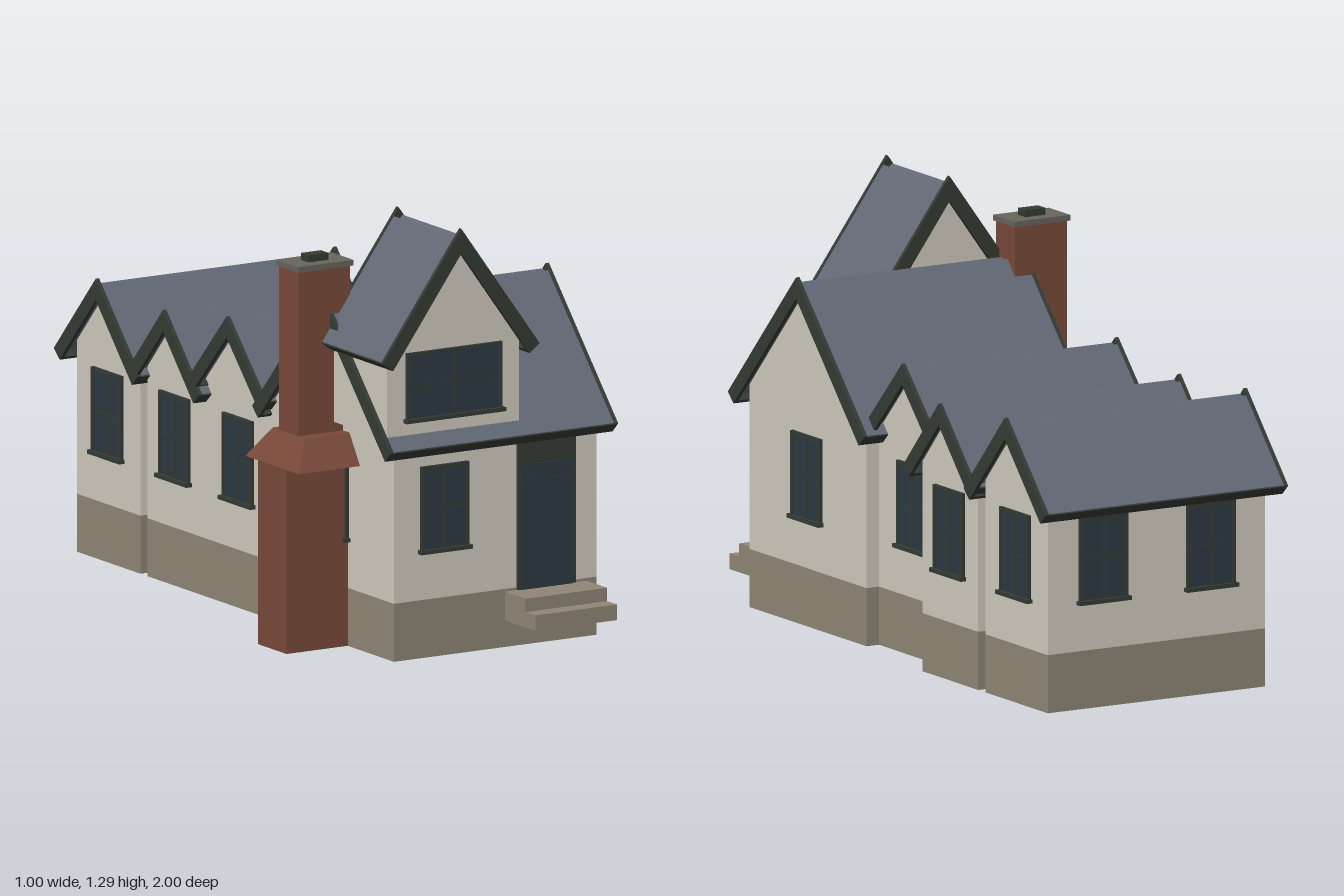
import * as THREE from 'three';

const mat = (name, color) => {
  const m = new THREE.MeshStandardMaterial({ color });
  m.name = name;
  return m;
};

export function createModel() {
  const plaster = mat('cream plaster', 0xd2ccc0);
  const stone = mat('tan stone', 0x908777);
  const slate = mat('slate', 0x626975);
  const trim = mat('dark green trim', 0x343b34);
  const glass = mat('blue glass', 0x2d3a42);
  const brick = mat('red brick', 0x7a4a3a);
  const capStone = mat('grey cap', 0x68655d);

  const house = new THREE.Group();
  house.name = 'house';

  const add = (parent, name, geometry, material) => {
    const mesh = new THREE.Mesh(geometry, material);
    mesh.name = name;
    parent.add(mesh);
    return mesh;
  };
  // Box given by its lower and upper corners
  const box = (parent, name, material, [x0, y0, z0], [x1, y1, z1]) => {
    const mesh = add(parent, name, new THREE.BoxGeometry(x1 - x0, y1 - y0, z1 - z0), material);
    mesh.position.set((x0 + x1) / 2, (y0 + y1) / 2, (z0 + z1) / 2);
    return mesh;
  };
  // Polygon in x, y pushed along z from z0 to z1
  const prism = (parent, name, material, points, z0, z1) => {
    const shape = new THREE.Shape(points.map(([x, y]) => new THREE.Vector2(x, y)));
    const geo = new THREE.ExtrudeGeometry(shape, { depth: z1 - z0, bevelEnabled: false });
    geo.translate(0, 0, z0);
    return add(parent, name, geo, material);
  };

  // Pitched roof with its ridge along local z, plus the gabled wall under it
  const gable = (name, o) => {
    const g = new THREE.Group();
    g.name = name;
    const t = 0.02, rise = 0.022, drop = 0.022;
    const a = Math.atan(o.pitch), c = Math.cos(a), s = Math.sin(a);
    const yb = o.top - rise / c;
    const len = (o.span - rise * s) / c;
    const [r0, r1] = o.roof;
    for (const side of [-1, 1]) {
      // Point at distance d down the slope and n above its underside
      const at = (d, n) => [side * (d * c + n * s), yb - d * s + n * c];
      prism(g, 'roofSlab', slate, [at(0, 0), at(len - 0.004, 0), at(len - 0.004, t), at(0, t)], r0, r1);
      prism(g, 'eaveFascia', trim,
        [at(len - 0.012, -drop), at(len, -drop), at(len, t - 0.001), at(len - 0.012, t - 0.001)], r0, r1);
      // Bargeboards on both gable ends
      for (const [z0, z1] of [[r0 - 0.007, r0 + 0.005], [r1 - 0.005, r1 + 0.007]]) {
        prism(g, 'bargeboard', trim,
          [[0, yb - drop / c], at(len, -drop), at(len, rise), [0, yb + rise / c]], z0, z1);
      }
    }
    const eave = yb - o.half * o.pitch;
    prism(g, 'gabledWall', plaster,
      [[-o.half, o.base], [o.half, o.base], [o.half, eave], [0, yb], [-o.half, eave]], ...o.wall);
    house.add(g);
    return g;
  };

  // Window with its back at local z = 0 and its lower edge at y = 0
  const addWindow = (name, w, h, x, y, z, turn) => {
    const g = new THREE.Group();
    g.name = name;
    const f = 0.01, d = 0.011;
    box(g, 'pane', glass, [-w / 2, 0, -0.005], [w / 2, h, 0.006]);
    for (const side of [-1, 1]) {
      const e = side * (w / 2 - f / 2);
      box(g, 'jamb', trim, [e - f / 2, 0, 0], [e + f / 2, h, d]);
    }
    box(g, 'head', trim, [-w / 2, h - f, 0], [w / 2, h, d]);
    box(g, 'mullion', trim, [-0.004, 0, 0], [0.004, h, 0.009]);
    box(g, 'glazingBar', trim, [-w / 2, h * 0.5 - 0.003, 0], [w / 2, h * 0.5 + 0.003, 0.008]);
    box(g, 'sill', trim, [-w / 2 - 0.007, -0.003, 0], [w / 2 + 0.007, 0.009, 0.02]);
    g.position.set(x, y, z);
    g.rotation.y = turn;
    house.add(g);
  };

  // Four bays in a row, each with a cross gable and a window at both ends
  const left = -0.29, plinth = 0.175;
  const bays = [
    { name: 'frontBay', z0: 0.165, z1: 0.83, right: 0.413, top: 1.055, span: 0.387, pitch: 1.065 },
    { name: 'secondBay', z0: -0.23, z1: 0.165, right: 0.37, top: 0.885, span: 0.212, pitch: 1.04 },
    { name: 'thirdBay', z0: -0.545, z1: -0.23, right: 0.459, top: 0.838, span: 0.202, pitch: 1.09 },
    { name: 'rearBay', z0: -0.94, z1: -0.585, right: 0.459, top: 0.862, span: 0.234, pitch: 1.08 },
  ];
  for (const b of bays) {
    const mid = (b.z0 + b.z1) / 2;
    const g = gable(b.name, {
      ...b, half: (b.z1 - b.z0) / 2, base: plinth,
      wall: [left, b.right], roof: [left - 0.038, b.right + 0.034],
    });
    g.rotation.y = Math.PI / 2;
    g.position.z = mid;
    box(house, 'plinth', stone, [left, 0, b.z0], [b.right, plinth, b.z1]);
    addWindow('sideWindow', 0.165, 0.26, b.right, 0.318, mid, Math.PI / 2);
    addWindow('sideWindow', 0.165, 0.26, left, 0.318, mid, -Math.PI / 2);
  }

  // Steep dormer over the front eave
  const dormer = gable('dormer', {
    top: 1.295, span: 0.272, pitch: 1.385, half: 0.229, base: 0.675,
    wall: [0.55, 0.845], roof: [0.535, 0.884],
  });
  dormer.position.x = -0.094;
  addWindow('dormerWindow', 0.33, 0.207, -0.094, 0.723, 0.845, 0);

  // Front and back windows
  addWindow('frontWindow', 0.165, 0.26, -0.117, 0.318, 0.83, 0);
  for (const x of [-0.1, 0.27]) addWindow('backWindow', 0.165, 0.26, x, 0.318, -0.94, Math.PI);

  // Front door with its frame
  box(house, 'doorFrame', trim, [0.135, 0.168, 0.825], [0.337, 0.61, 0.838]);
  box(house, 'doorPanel', glass, [0.147, 0.168, 0.83], [0.325, 0.545, 0.842]);
  box(house, 'doorRail', trim, [0.16, 0.495, 0.836], [0.312, 0.5, 0.844]);

  // Entrance steps
  box(house, 'upperStep', stone, [0.095, 0.127, 0.825], [0.378, 0.167, 0.945]);
  box(house, 'lowerStep', stone, [0.095, 0.08, 0.825], [0.378, 0.127, 1.0]);

  // Chimney: base, tapered shoulder, shaft, cap and flue
  const cx = -0.355, cz = 0.4925;
  const block = (name, material, w, d, y0, y1) =>
    box(house, name, material, [cx - w / 2, y0, cz - d / 2], [cx + w / 2, y1, cz + d / 2]);
  block('chimneyBase', brick, 0.295, 0.16, 0, 0.556);
  const shoulder = new THREE.CylinderGeometry(0.18 / Math.SQRT2, 0.297 / Math.SQRT2, 0.09, 4).toNonIndexed();
  shoulder.rotateY(Math.PI / 4);
  shoulder.computeVertexNormals();
  add(house, 'chimneyShoulder', shoulder, brick).position.set(cx, 0.6, cz);
  block('chimneyShaft', brick, 0.18, 0.107, 0.64, 1.142);
  block('chimneyCap', capStone, 0.193, 0.123, 1.14, 1.157);
  block('chimneyFlue', trim, 0.07, 0.042, 1.155, 1.178);

  return house;
}
